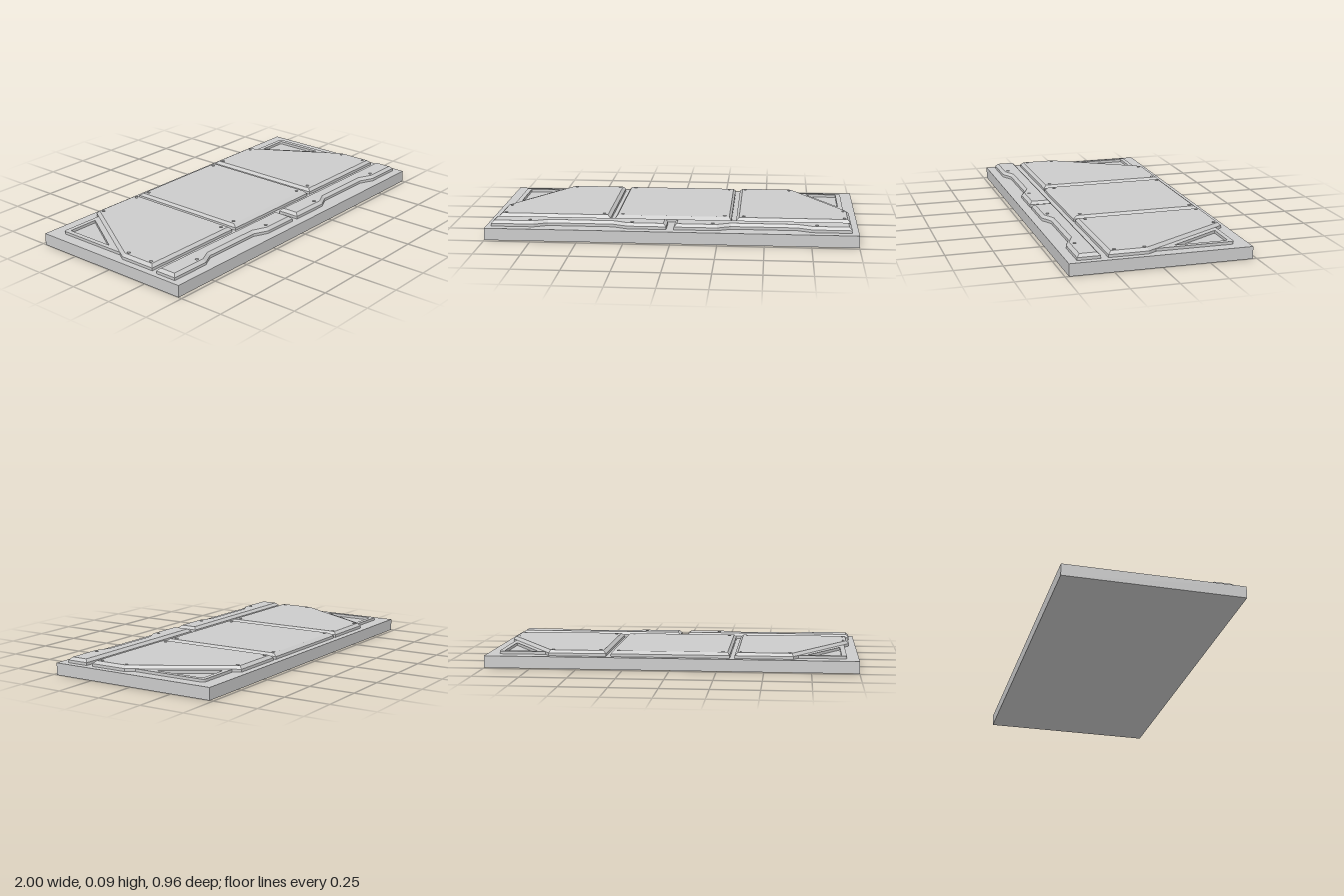
import * as THREE from 'three';

const material = new THREE.MeshStandardMaterial({ color: 0xcccccc, flatShading: true });
const holeMaterial = new THREE.MeshStandardMaterial({ color: 0xcccccc, side: THREE.DoubleSide });
const BASE = 0.065, STEP = 0.08, TOP = 0.095;
const HOLE_R = 0.009, HOLE_D = 0.014;

// Plan points are [x, z]; shapes are drawn with z flipped and then laid flat
function toOutline(points) {
  const pts = points.map(([x, z]) => new THREE.Vector2(x, -z));
  return THREE.ShapeUtils.isClockWise(pts) ? pts.reverse() : pts;
}

const mirror = (points) => points.map(([x, z]) => [-x, z]);
const shift = (points, dx) => points.map(([x, z]) => [x + dx, z]);

// Mitred inset of a counter-clockwise outline, with separate amounts in x and z
function inset(pts, ix, iz) {
  const inward = (a, b) => new THREE.Vector2(a.y - b.y, b.x - a.x).normalize();
  return pts.map((p, i) => {
    const n1 = inward(pts[(i + pts.length - 1) % pts.length], p);
    const n2 = inward(p, pts[(i + 1) % pts.length]);
    const m = n1.clone().add(n2).divideScalar(1 + n1.dot(n2));
    return new THREE.Vector2(p.x + m.x * ix, p.y + m.y * iz);
  });
}

// Flat-sided skirt joining outlines at rising heights
function skirt(rings) {
  const pos = [];
  for (let k = 0; k + 1 < rings.length; k++) {
    const [lo, y0] = rings[k], [hi, y1] = rings[k + 1];
    lo.forEach((a0, i) => {
      const j = (i + 1) % lo.length, b0 = lo[j], a1 = hi[i], b1 = hi[j];
      pos.push(a0.x, y0, -a0.y, b0.x, y0, -b0.y, b1.x, y1, -b1.y);
      pos.push(a0.x, y0, -a0.y, b1.x, y1, -b1.y, a1.x, y1, -a1.y);
    });
  }
  const g = new THREE.BufferGeometry();
  g.setAttribute('position', new THREE.Float32BufferAttribute(pos, 3));
  g.computeVertexNormals();
  return g;
}

function addMesh(parent, name, geometry, mat = material) {
  const mesh = new THREE.Mesh(geometry, mat);
  mesh.name = name;
  parent.add(mesh);
  return mesh;
}

const holeGeometry = new THREE.LatheGeometry(
  [[0, -HOLE_D], [HOLE_R, -HOLE_D], [HOLE_R, 0]].map(([x, y]) => new THREE.Vector2(x, y)), 12);

// Chamfered plate with small bolt holes sunk into its top
function plate(name, points, holes, ix = 0.016, iz = 0.016) {
  const group = new THREE.Group();
  group.name = name;
  const outer = toOutline(points), inner = inset(outer, ix, iz);
  addMesh(group, name + 'Sides', skirt([[outer, BASE], [outer, STEP], [inner, TOP]]));
  const shape = new THREE.Shape(inner);
  for (const [x, z] of holes) {
    shape.holes.push(new THREE.Path().absarc(x, -z, HOLE_R, 0, Math.PI * 2, true));
    addMesh(group, 'boltHole', holeGeometry, holeMaterial).position.set(x, TOP, z);
  }
  const top = new THREE.ShapeGeometry(shape, 6).rotateX(-Math.PI / 2).translate(0, TOP, 0);
  addMesh(group, name + 'Top', top);
  return group;
}

// Closed path with each corner rounded by distance r
function rounded(pts, r, path) {
  pts.forEach((p, i) => {
    const toward = (q) => p.clone().add(q.clone().sub(p).setLength(r));
    const a = toward(pts[(i + pts.length - 1) % pts.length]);
    const b = toward(pts[(i + 1) % pts.length]);
    if (i === 0) path.moveTo(a.x, a.y); else path.lineTo(a.x, a.y);
    path.quadraticCurveTo(p.x, p.y, b.x, b.y);
  });
  path.closePath();
  return path;
}

// Thin triangular frame filling a back corner
function cornerFrame(flip) {
  const outer = flip([[-0.935, -0.403], [-0.672, -0.403], [-0.935, 0.025]]);
  const inner = flip([[-0.908, -0.378], [-0.73, -0.378], [-0.908, -0.09]]);
  const shape = rounded(toOutline(outer), 0.018, new THREE.Shape());
  shape.holes.push(rounded(toOutline(inner), 0.008, new THREE.Path()));
  return new THREE.ExtrudeGeometry(shape, { depth: STEP - BASE, bevelEnabled: false, curveSegments: 4 })
    .rotateX(-Math.PI / 2).translate(0, BASE, 0);
}

export function createModel() {
  const model = new THREE.Group();
  model.name = 'panelledSlab';

  addMesh(model, 'base', new THREE.BoxGeometry(2, BASE, 0.96)).position.y = BASE / 2;

  // Middle plate, with wider chamfers at front and back
  model.add(plate('middlePlate',
    [[-0.318, 0.272], [0.318, 0.272], [0.318, -0.443], [-0.318, -0.443]],
    [[-0.28, 0.225], [0.28, 0.225], [0.28, -0.405], [-0.28, -0.405]], 0.012, 0.022));

  // Side plates with a cut-off back corner, and the frames behind them
  const sidePoints = [[-0.963, 0.27], [-0.344, 0.27], [-0.344, -0.443], [-0.655, -0.443], [-0.963, 0.062]];
  const sideHoles = [[-0.93, 0.232], [-0.384, 0.225], [-0.376, -0.408], [-0.635, -0.408], [-0.93, 0.075]];
  for (const [side, flip] of [['right', (p) => p], ['left', mirror]]) {
    model.add(plate(side + 'Plate', flip(sidePoints), flip(sideHoles)));
    addMesh(model, side + 'CornerFrame', cornerFrame(flip));
  }

  // Front bars, each with a shallow notch along the front edge
  const barPoints = [[-0.972, 0.308], [-0.972, 0.43], [-0.74, 0.43], [-0.667, 0.395],
    [-0.315, 0.395], [-0.235, 0.43], [-0.024, 0.43], [-0.024, 0.308]];
  const barHoles = [[-0.765, 0.392], [-0.21, 0.392]];
  for (const [side, dx] of [['right', 0], ['left', 0.988]]) {
    model.add(plate(side + 'FrontBar', shift(barPoints, dx), shift(barHoles, dx)));
  }
  return model;
}
